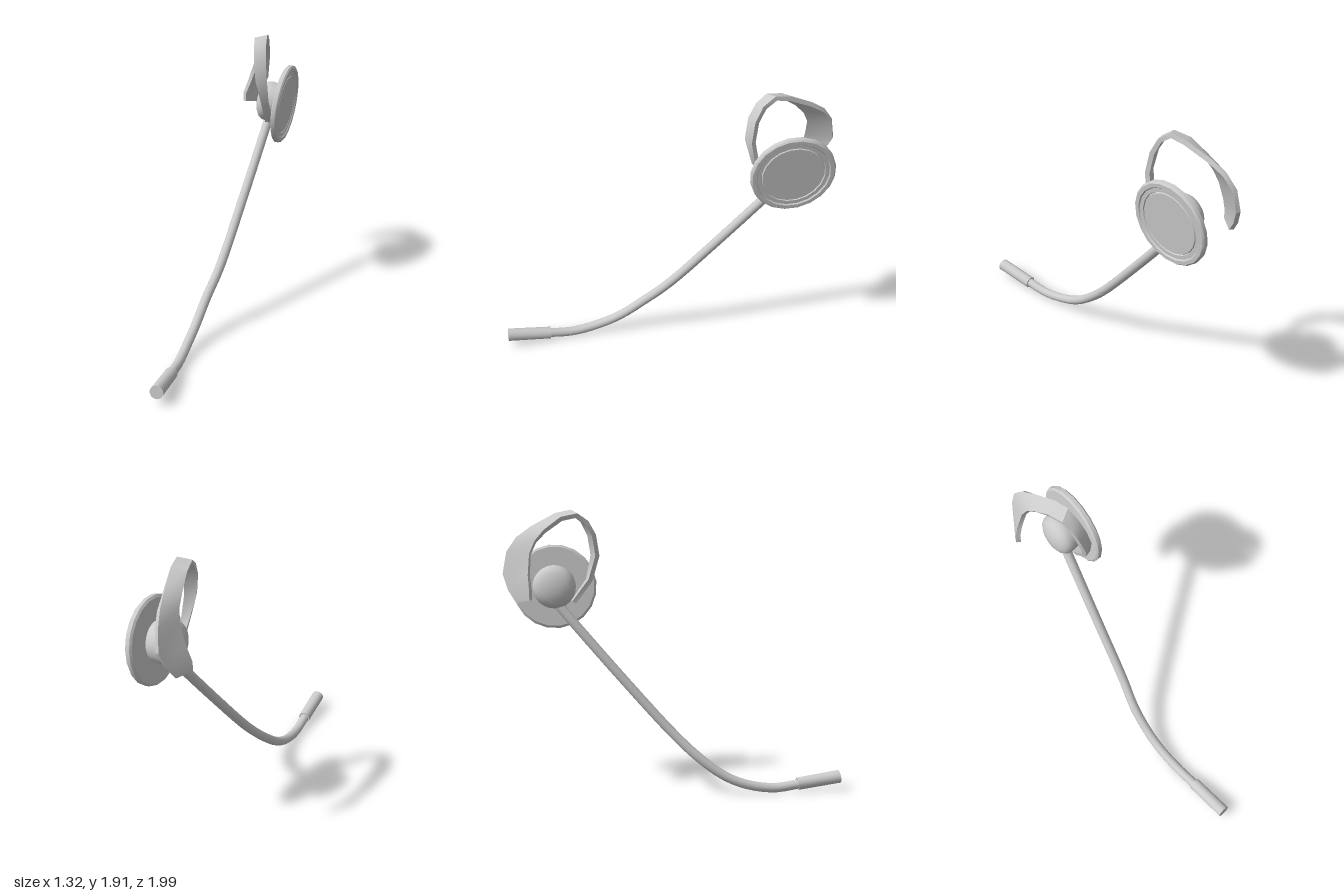
import * as THREE from 'three';
import { toCreasedNormals } from 'three/addons/utils/BufferGeometryUtils.js';

const material = new THREE.MeshStandardMaterial({ color: 0xcccccc });
const V = (x, y, z) => new THREE.Vector3(x, y, z);
const UP = V(0, 1, 0);

function addPart(group, name, geometry, crease = 0.6) {
  const mesh = new THREE.Mesh(toCreasedNormals(geometry, crease), material);
  mesh.name = name;
  group.add(mesh);
  return mesh;
}

// Lathe from [radius, height] pairs, listed from bottom to top
const lathe = (points, sides) =>
  new THREE.LatheGeometry(points.map(([r, h]) => new THREE.Vector2(r, h)), sides);

// Flat band through pairs of edge points, given thickness towards its inside
function bandGeometry(stations, thickness) {
  const edges = stations.map(([a, b]) => [V(...a), V(...b)]);
  const mids = edges.map(([a, b]) => a.clone().add(b).multiplyScalar(0.5));
  const last = edges.length - 1;
  const positions = [], index = [];
  edges.forEach(([a, b], i) => {
    const along = mids[Math.min(i + 1, last)].clone().sub(mids[Math.max(i - 1, 0)]);
    const inward = along.cross(b.clone().sub(a)).normalize().multiplyScalar(thickness);
    for (const p of [a, b, b.clone().add(inward), a.clone().add(inward)]) positions.push(p.x, p.y, p.z);
    if (i === last) return;
    for (let k = 0; k < 4; k++) {
      const p = i * 4 + k, q = i * 4 + (k + 1) % 4;
      index.push(p, q, q + 4, p, q + 4, p + 4);
    }
  });
  const e = last * 4;
  index.push(3, 2, 1, 3, 1, 0, e, e + 1, e + 2, e, e + 2, e + 3);
  const geometry = new THREE.BufferGeometry();
  geometry.setAttribute('position', new THREE.Float32BufferAttribute(positions, 3));
  geometry.setIndex(index);
  return geometry;
}

export function createModel() {
  const model = new THREE.Group();
  model.name = 'earHookHeadset';

  // Earpiece: padded disc with a rounded housing behind it
  const earpiece = new THREE.Group();
  earpiece.name = 'earpiece';
  earpiece.position.set(0.508, 1.405, -0.593);
  earpiece.quaternion.setFromUnitVectors(UP, V(0.865, -0.1, 0.48).normalize());
  model.add(earpiece);
  addPart(earpiece, 'speakerDisc', lathe([
    [0, -0.025], [0.265, -0.025], [0.28, -0.015], [0.28, 0.01], [0.27, 0.02], [0.245, 0.02],
    [0.238, 0.012], [0.212, 0.012], [0.208, 0.004], [0.203, 0.012], [0, 0.012],
  ], 20), 0.5);
  addPart(earpiece, 'speakerHousing', lathe([
    [0, -0.2], [0.05, -0.195], [0.09, -0.185], [0.12, -0.168], [0.137, -0.145],
    [0.143, -0.115], [0.135, -0.07], [0.127, -0.02],
  ], 24), 0.8);

  // Boom: bent tube rising from the microphone to the housing
  const boomPath = new THREE.CatmullRomCurve3([
    V(-0.51, 0.065, 0.73), V(-0.435, 0.045, 0.56), V(-0.35, 0.08, 0.38), V(-0.275, 0.145, 0.25),
    V(-0.18, 0.27, 0.11), V(-0.065, 0.43, -0.02), V(0.15, 0.82, -0.3), V(0.375, 1.25, -0.595),
    V(0.41, 1.32, -0.64),
  ]);
  addPart(model, 'boom', new THREE.TubeGeometry(boomPath, 40, 0.032, 14), 0.8);

  // Microphone: short cylinder on the lower end of the boom
  const micStart = V(-0.5, 0.064, 0.71), micEnd = V(-0.622, 0.102, 0.98);
  const micAxis = micEnd.clone().sub(micStart);
  const mic = addPart(model, 'microphone', new THREE.CylinderGeometry(0.044, 0.042, micAxis.length(), 16));
  mic.position.copy(micStart).add(micEnd).multiplyScalar(0.5);
  mic.quaternion.setFromUnitVectors(UP, micAxis.normalize());

  // Ear hook: band that climbs from the housing, arches back and twists to its tip
  addPart(model, 'earHook', bandGeometry([
    [[0.35, 1.30, -0.52], [0.40, 1.30, -0.50]],
    [[0.30, 1.45, -0.42], [0.35, 1.45, -0.41]],
    [[0.255, 1.62, -0.39], [0.33, 1.62, -0.385]],
    [[0.245, 1.76, -0.42], [0.325, 1.76, -0.41]],
    [[0.255, 1.85, -0.47], [0.335, 1.86, -0.46]],
    [[0.27, 1.90, -0.54], [0.36, 1.92, -0.54]],
    [[0.295, 1.88, -0.65], [0.39, 1.90, -0.64]],
    [[0.32, 1.80, -0.76], [0.42, 1.82, -0.80]],
    [[0.335, 1.73, -0.82], [0.44, 1.75, -0.90]],
    [[0.335, 1.65, -0.86], [0.45, 1.66, -0.965]],
    [[0.30, 1.52, -0.89], [0.45, 1.52, -0.995]],
    [[0.265, 1.42, -0.90], [0.41, 1.42, -0.98]],
    [[0.265, 1.36, -0.90], [0.36, 1.34, -0.95]],
  ], 0.03), 0.5);

  return model;
}
